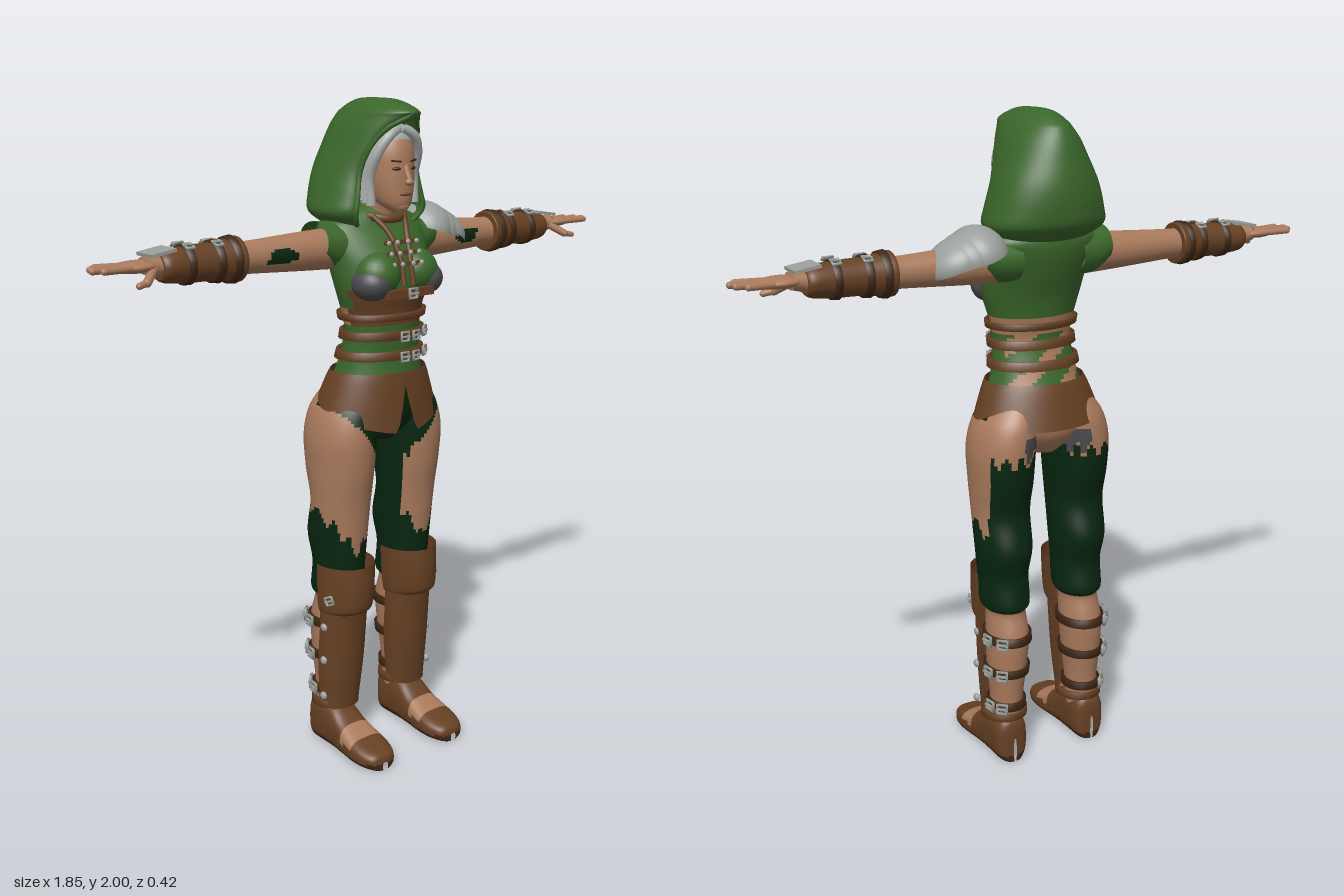
import * as THREE from 'three';
import { mergeVertices } from 'three/addons/utils/BufferGeometryUtils.js';

const PI = Math.PI, V = (x, y, z) => new THREE.Vector3(x, y, z);
const flat = (name, color, side = THREE.FrontSide) => {
  const m = new THREE.MeshStandardMaterial({ color, side });
  m.name = name;
  return m;
};
const M = {
  green: flat('hood green', 0x3a662a, THREE.DoubleSide),
  pine: flat('dark green cloth', 0x07260f),
  skin: flat('skin', 0xa97a5c),
  leather: flat('leather', 0x664023, THREE.DoubleSide),
  dark: flat('dark leather', 0x3f2715),
  steel: flat('steel', 0x9a9f9b, THREE.DoubleSide),
  iron: flat('dark iron', 0x4b4b50),
  hair: flat('silver hair', 0xa9aeac),
  lip: flat('lip', 0x85503f),
};

// Smooth interpolation through rows of numbers, t in 0..1
function sample(rows, t) {
  const f = t * (rows.length - 1), i = Math.min(Math.floor(f), rows.length - 2), u = f - i;
  const r = k => rows[Math.max(0, Math.min(rows.length - 1, i + k))];
  return rows[i].map((_, k) => {
    const [a, b, c, d] = [r(-1)[k], r(0)[k], r(1)[k], r(2)[k]];
    return b + 0.5 * u * (c - a + u * (2 * a - 5 * b + 4 * c - d + u * (3 * (b - c) + d - a)));
  });
}
// Row of a vertical loft at height y
function at(rows, y) {
  let i = 0;
  while (i < rows.length - 2 && rows[i + 1][1] < y) i++;
  const t = (y - rows[i][1]) / (rows[i + 1][1] - rows[i][1]);
  return rows[i].map((v, k) => v + (rows[i + 1][k] - v) * t);
}
// Grid surface whose faces take their material from a rule on the face centre
function surface(parent, name, nu, nv, point, rule) {
  const pos = [], sets = {};
  for (let i = 0; i <= nu; i++) for (let j = 0; j <= nv; j++) pos.push(...point(i, j));
  for (let i = 0; i < nu; i++) for (let j = 0; j < nv; j++) {
    const a = i * (nv + 1) + j, b = a + 1, d = a + nv + 1, c = d + 1;
    const mid = [0, 1, 2].map(k => (pos[a * 3 + k] + pos[b * 3 + k] + pos[c * 3 + k] + pos[d * 3 + k]) / 4);
    const key = typeof rule === 'string' ? rule : rule(...mid);
    (sets[key] ??= []).push(a, b, c, a, c, d);
  }
  let g = new THREE.BufferGeometry();
  g.setAttribute('position', new THREE.Float32BufferAttribute(pos, 3));
  g.setIndex(Object.values(sets).flat());
  let start = 0;
  Object.values(sets).forEach((s, k) => { g.addGroup(start, s.length, k); start += s.length; });
  g = mergeVertices(g, 1e-5);
  g.computeVertexNormals();
  return add(parent, name, g, Object.keys(sets).map(k => M[k]));
}
// Elliptical cross-sections [x, y, z, rx, rz] stacked along y
function loft(parent, name, rows, rule, { sub = 6, n = 36, arc = 2 * PI, cap = true } = {}) {
  const steps = sub * (rows.length - 1), e = cap ? 1 : 0;
  return surface(parent, name, steps + 2 * e, n, (i, j) => {
    const k = Math.max(0, Math.min(steps, i - e)), [x, y, z, rx, rz] = sample(rows, k / steps);
    const a = (j / n - 0.5) * arc, r = cap && (i === 0 || i === steps + 2) ? 0 : 1;
    return [x + r * rx * Math.sin(a), y, z + r * rz * Math.cos(a)];
  }, rule);
}
function add(parent, name, geo, mat, p = [0, 0, 0], s = [1, 1, 1], r = [0, 0, 0]) {
  const m = new THREE.Mesh(geo, mat);
  m.name = name;
  m.position.set(...p); m.scale.set(...s); m.rotation.set(...r);
  parent.add(m);
  return m;
}
const box = (g, name, mat, size, p, r) => add(g, name, new THREE.BoxGeometry(...size), mat, p, [1, 1, 1], r);
const ball = (g, name, mat, size, p, r) => add(g, name, new THREE.SphereGeometry(1, 24, 16), mat, p, size, r);
const tube = (g, name, mat, pts, r) =>
  add(g, name, new THREE.TubeGeometry(new THREE.CatmullRomCurve3(pts), 32, r, 8), mat);
function limb(g, name, mat, a, b, r) {
  const d = b.clone().sub(a), m = add(g, name, new THREE.CapsuleGeometry(r, d.length(), 4, 10), mat);
  m.position.copy(a).add(b).multiplyScalar(0.5);
  m.quaternion.setFromUnitVectors(V(0, 1, 0), d.normalize());
}
// Raised strap following a loft between two heights
function band(g, name, rows, y0, y1, off, mat) {
  const ring = (y, o) => at(rows, y).map((v, k) => (k > 2 ? v + o : v));
  loft(g, name, [ring(y0, off - 0.01), ring(y0, off), ring(y1, off), ring(y1, off - 0.01)], mat, { sub: 1, cap: false });
}
function buckle(g, p, r = [0, 0, 0], size = 1) {
  const b = new THREE.Group();
  b.name = 'buckle';
  b.position.set(...p); b.rotation.set(...r); b.scale.setScalar(size);
  add(b, 'buckleFrame', new THREE.TorusGeometry(0.019, 0.005, 6, 4).rotateZ(PI / 4), M.steel);
  box(b, 'bucklePin', M.steel, [0.034, 0.005, 0.008], [0, 0, 0.003]);
  g.add(b);
}

const TORSO = [[0, 1.0, -0.02, 0.05, 0.07], [0, 1.06, -0.02, 0.15, 0.115], [0, 1.12, -0.015, 0.185, 0.125],
  [0, 1.2, 0, 0.147, 0.112], [0, 1.27, 0.01, 0.13, 0.095], [0, 1.34, 0.022, 0.125, 0.088], [0, 1.4, 0.02, 0.135, 0.095],
  [0, 1.47, 0.02, 0.155, 0.11], [0, 1.54, 0.003, 0.165, 0.117], [0, 1.6, -0.02, 0.178, 0.11],
  [0, 1.645, -0.035, 0.178, 0.095], [0, 1.68, -0.03, 0.11, 0.075], [0, 1.7, -0.02, 0.055, 0.05]];
const torsoRule = (x, y, z) => {
  if (y < 1.2) return Math.abs(x) < 0.1 && z > 0 ? 'pine' : 'skin';
  if (y < 1.36) return z < -0.02 && Math.sin(x * 40 + y * 55) > 0.35 ? 'skin' : 'green';
  if (y < 1.415) return z > 0.03 ? 'leather' : 'skin';
  return y < 1.47 && z > 0.05 ? 'leather' : 'green';
};

function buildTorso(g) {
  loft(g, 'torsoAndVest', TORSO, torsoRule, { n: 56 });
  for (const [y, h] of [[1.385, 0.02], [1.33, 0.026], [1.27, 0.026]]) band(g, 'waistBelt', TORSO, y - h / 2, y + h / 2, 0.014, 'leather');
  for (const y of [1.33, 1.27]) for (const x of [-0.012, 0.03, 0.095])
    buckle(g, [x, y, x > 0.05 ? 0.105 : 0.142], [0, x * 6, 0], 0.95);
  // Bust, cups and laced front
  for (const s of [-1, 1]) {
    ball(g, 'bust', M.green, [0.07, 0.066, 0.068], [s * 0.072, 1.51, 0.085]);
    ball(g, 'bustCup', M.iron, [0.056, 0.05, 0.062], [s * 0.099, 1.487, 0.092]);
    tube(g, 'collarStrap', M.leather, [V(s * 0.06, 1.675, 0.05), V(s * 0.035, 1.63, 0.09), V(s * 0.018, 1.55, 0.128), V(s * 0.018, 1.48, 0.142)], 0.008);
  }
  for (const [y, z] of [[1.6, 0.108], [1.57, 0.12], [1.54, 0.132]]) {
    box(g, 'lace', M.leather, [0.12, 0.012, 0.012], [0, y, z]);
    for (const x of [-0.052, -0.02, 0.02, 0.052]) ball(g, 'laceStud', M.steel, [0.008, 0.008, 0.006], [x, y, z + 0.007]);
  }
  box(g, 'bustBelt', M.leather, [0.17, 0.024, 0.02], [0, 1.458, 0.146]);
  buckle(g, [0, 1.458, 0.162]);
  add(g, 'collar', new THREE.TorusGeometry(0.062, 0.013, 8, 28), M.leather, [0, 1.675, 0.01], [1, 1, 1], [PI / 2 + 0.2, 0, 0]);
  // Flared skirt with a notched front hem
  surface(g, 'skirt', 10, 96, (i, j) => {
    const a = (j / 96 - 0.5) * 2 * PI, d = Math.abs(a);
    const hem = d < 0.16 ? 1.18 - 0.14 * d / 0.16 : 1.04 + 0.05 * Math.min(1, (d - 0.16) / 1.1);
    const y = hem + (1.22 - hem) * i / 10, k = Math.pow((1.22 - y) / 0.16, 0.85);
    return [(0.155 + 0.062 * k) * Math.sin(a), y, 0.003 - 0.02 * k + (0.122 + 0.036 * k) * Math.cos(a)];
  }, 'leather');
}

function buildHead(g) {
  loft(g, 'neck', [[0, 1.62, -0.01, 0.055, 0.055], [0, 1.68, 0, 0.048, 0.05], [0, 1.75, 0.02, 0.05, 0.05]], 'skin');
  loft(g, 'head', [[0, 1.685, 0.098, 0.02, 0.018], [0, 1.71, 0.075, 0.048, 0.052], [0, 1.75, 0.052, 0.066, 0.078],
    [0, 1.8, 0.038, 0.075, 0.092], [0, 1.86, 0.03, 0.075, 0.095], [0, 1.905, 0.02, 0.058, 0.08], [0, 1.93, 0.02, 0.01, 0.015]], 'skin');
  limb(g, 'noseBridge', M.skin, V(0, 1.815, 0.124), V(0, 1.775, 0.143), 0.008);
  ball(g, 'noseTip', M.skin, [0.014, 0.01, 0.012], [0, 1.771, 0.142]);
  ball(g, 'mouth', M.lip, [0.022, 0.007, 0.008], [0, 1.738, 0.127]);
  ball(g, 'chin', M.skin, [0.024, 0.018, 0.018], [0, 1.703, 0.108]);
  ball(g, 'hairCap', M.hair, [0.08, 0.065, 0.1], [0, 1.878, 0.016]);
  for (const s of [-1, 1]) {
    ball(g, 'eye', M.dark, [0.013, 0.005, 0.005], [s * 0.031, 1.808, 0.122], [0, s * 0.4, 0]);
    box(g, 'eyebrow', M.dark, [0.03, 0.005, 0.006], [s * 0.031, 1.829, 0.122], [0, s * 0.4, s * 0.1]);
    for (let k = 0; k < 4; k++)
      tube(g, 'hairLock', M.hair, [V(s * 0.008, 1.918, 0.1 - k * 0.02), V(s * (0.045 + k * 0.004), 1.898, 0.106 - k * 0.012),
        V(s * 0.074, 1.85, 0.09 - k * 0.012), V(s * (0.082 + k * 0.004), 1.78, 0.064 - k * 0.01),
        V(s * (0.08 + k * 0.007), 1.705 + k * 0.008, 0.068 - k * 0.012)], 0.015);
  }
  // Hood levels: y, half width, back z, front z, half opening
  const H = [[1.64, 0.13, -0.13, 0.03, 0.1], [1.68, 0.178, -0.19, 0.055, 0.125], [1.73, 0.17, -0.205, 0.055, 0.118],
    [1.8, 0.148, -0.205, 0.05, 0.105], [1.87, 0.12, -0.19, 0.075, 0.085], [1.92, 0.1, -0.175, 0.11, 0.055],
    [1.95, 0.083, -0.16, 0.15, 0.015], [1.965, 0.073, -0.145, 0.163, 0], [1.985, 0.05, -0.11, 0.12, 0],
    [1.997, 0.025, -0.07, 0.07, 0], [2, 0, -0.01, -0.01, 0]];
  surface(g, 'hood', 50, 48, (i, j) => {
    const [y, rx, zb, zf, open] = sample(H, i / 50), zc = (zb + zf) / 2, ow = Math.max(0, open);
    const th = (j / 48 - 0.5) * 2 * PI, f = Math.abs(th) - PI / 2;
    if (f <= 0) return [-rx * Math.sin(th), y, zc - (zc - zb) * Math.cos(th)];
    return [-Math.sign(th) * (ow + (rx - ow) * Math.cos(f)), y, zc + (zf - zc) * Math.sin(f)];
  }, 'green');
  const rim = H.slice(0, 8), side = s => rim.map(r => V(s * r[4], r[0], r[3]));
  tube(g, 'hoodRim', M.green, [...side(1), ...side(-1).reverse().slice(1)], 0.008);
}

function buildArm(g, s) {
  const arm = new THREE.Group();
  arm.name = s > 0 ? 'leftArm' : 'rightArm';
  arm.position.set(0, 1.58, -0.035); arm.rotation.z = -s * PI / 2;
  g.add(arm);
  const up = -s;   // local x that points up
  const row = (l, r, q = r, o = 0) => [up * o, l, 0, r, q];
  loft(arm, 'arm', [row(0.1, 0.062), row(0.24, 0.056), row(0.35, 0.05), row(0.45, 0.045), row(0.55, 0.045), row(0.68, 0.034), row(0.76, 0.024, 0.034, 0.008)],
    (x, l, z) => (z > 0 && Math.abs(x) < 0.018 && Math.abs(l - 0.345) < 0.046 - x * 0.6 ? 'pine' : 'skin'), { n: 44, sub: 8 });
  loft(arm, 'armhole', [row(0.1, 0.07, 0.085, 0.01), row(0.16, 0.068, 0.078, 0.012), row(0.205, 0.056, 0.068, 0.025)], 'green', { cap: false });
  const B = [row(0.47, 0.056), row(0.475, 0.063), row(0.51, 0.058), row(0.56, 0.052), row(0.63, 0.05), row(0.7, 0.044, 0.05), row(0.72, 0.034, 0.04)];
  loft(arm, 'bracer', B, 'leather');
  for (const l of [0.5, 0.55, 0.64]) band(arm, 'bracerStrap', B, l - 0.01, l + 0.01, 0.006, 'dark');
  for (const l of [0.55, 0.64]) for (const z of [-0.03, 0.03]) buckle(arm, [up * 0.052, l, z], [0, up * PI / 2 - up * z * 14, PI / 2], 0.85);
  // Hand, with a plate over its back
  const h = new THREE.Group();
  h.name = 'hand';
  h.position.set(0, 1.588, -0.035);
  g.add(h);
  box(h, 'handPlate', M.steel, [0.075, 0.009, 0.08], [s * 0.72, 0.033, 0], [0, 0, -s * 0.15]);
  ball(h, 'palm', M.skin, [0.068, 0.017, 0.044], [s * 0.785, 0, 0]);
  [[0.034, 0.895], [0.012, 0.915], [-0.012, 0.907], [-0.035, 0.882]].forEach(([z, l]) =>
    limb(h, 'finger', M.skin, V(s * 0.8, 0, z * 0.85), V(s * l, 0.002, z * 1.15), 0.0095));
  limb(h, 'thumb', M.skin, V(s * 0.745, -0.008, 0.025), V(s * 0.785, -0.035, 0.058), 0.012);
  limb(h, 'thumbTip', M.skin, V(s * 0.785, -0.035, 0.058), V(s * 0.812, -0.04, 0.064), 0.009);
}

function buildLeg(g, s) {
  const leg = new THREE.Group();
  leg.name = s > 0 ? 'leftLeg' : 'rightLeg';
  g.add(leg);
  const side = rows => rows.map(([x, ...r]) => [x * s, ...r]);
  const L = side([[0.14, 0.08, -0.06, 0.05, 0.055], [0.137, 0.2, -0.06, 0.05, 0.057], [0.135, 0.32, -0.06, 0.06, 0.072],
    [0.132, 0.42, -0.06, 0.064, 0.078], [0.13, 0.5, -0.045, 0.06, 0.072], [0.13, 0.53, -0.04, 0.074, 0.09],
    [0.13, 0.62, -0.03, 0.076, 0.09], [0.13, 0.71, -0.035, 0.084, 0.104], [0.13, 0.82, -0.018, 0.088, 0.098],
    [0.13, 0.92, -0.02, 0.094, 0.118], [0.128, 1.02, -0.02, 0.098, 0.128], [0.112, 1.1, -0.02, 0.094, 0.122], [0.09, 1.16, -0.015, 0.075, 0.1]]);
  loft(leg, 'legAndLegging', L, (x, y, z) => {
    const dx = (x * s - 0.13) / 0.09, dz = (z + 0.02) / 0.11, rag = 0.02 * Math.sin(x * 130 + z * 60);
    if (y < 0.51) return 'skin';
    if (y < 0.66 + 0.13 * Math.min(1, Math.abs(dx)) + rag) return 'pine';
    if (dz < -0.25 && dx < -0.2 && y > 1.01 + rag && y < 1.07) return 'iron';
    if (dz < -0.35 && dx < 0.75 + rag * 4 && y < 1.0 + rag) return 'pine';
    if (dx < -0.72 + rag * 4 && y < 1.02) return 'pine';
    return dz > -0.3 && y > 0.94 + rag && x * s < 0.05 + (y - 0.94) * 0.8 ? 'pine' : 'skin';
  }, { n: 64, sub: 8 });
  // Boot shells cover the front; straps close them behind the calf
  loft(leg, 'shinGuard', side([[0.138, 0.14, -0.034, 0.07, 0.064], [0.137, 0.16, -0.03, 0.068, 0.062], [0.133, 0.3, -0.025, 0.077, 0.073],
    [0.131, 0.42, -0.015, 0.079, 0.072], [0.13, 0.53, -0.01, 0.08, 0.078]]), 'leather', { arc: 1.1 * PI, cap: false });
  loft(leg, 'kneeGuard', side([[0.13, 0.47, -0.01, 0.081, 0.086], [0.13, 0.49, -0.01, 0.085, 0.102], [0.128, 0.56, -0.01, 0.088, 0.108],
    [0.127, 0.625, -0.01, 0.09, 0.105]]), 'leather', { arc: 1.12 * PI, cap: false });
  band(leg, 'ankleCuff', side([[0.138, 0.14, -0.045, 0.068, 0.07], [0.138, 0.17, -0.045, 0.068, 0.07]]), 0.14, 0.165, 0.005, 'leather');
  for (const y of [0.19, 0.31, 0.42]) {
    const r = at(L, y);
    band(leg, 'calfStrap', L, y - 0.013, y + 0.013, 0.01, 'dark');
    for (const a of [1.75, 2.4]) buckle(leg, [r[0] + s * (r[3] + 0.015) * Math.sin(a), y, r[2] + (r[4] + 0.015) * Math.cos(a)], [0, s * a, 0], 1.1);
    ball(leg, 'bootStud', M.steel, [0.009, 0.013, 0.013], [r[0] + s * 0.077, y, -0.005]);
  }
  buckle(leg, [s * 0.215, 0.52, 0.03], [0, s * 1.2, 0.4], 0.9);
  // Shoe sections from toe to heel: z, half width, height
  const F = [[0.21, 0.01, 0.025], [0.2, 0.042, 0.048], [0.16, 0.062, 0.062], [0.11, 0.066, 0.078], [0.05, 0.06, 0.105], [0, 0.056, 0.14],
    [-0.05, 0.055, 0.155], [-0.1, 0.052, 0.15], [-0.122, 0.034, 0.13], [-0.127, 0.005, 0.08]];
  surface(leg, 'shoe', 54, 36, (i, j) => {
    const [z, w, h] = sample(F, i / 54), a = (j / 36 - 0.5) * 2 * PI, p = v => Math.sign(v) * Math.abs(v) ** 0.7;
    return [s * 0.142 + w * p(Math.sin(a)), Math.max(0, 0.48 * h + 0.52 * h * p(Math.cos(a))), z];
  }, (x, y, z) => (y < 0.022 ? 'dark' : y > 0.05 && z > 0.06 && z < 0.115 ? 'skin' : 'leather'));
}

export function createModel() {
  const g = new THREE.Group();
  g.name = 'hoodedRanger';
  buildTorso(g);
  buildHead(g);
  for (const s of [-1, 1]) { buildArm(g, s); buildLeg(g, s); }
  // Layered shoulder plate on the left shoulder
  for (let k = 0; k < 3; k++)
    add(g, 'shoulderPlate', new THREE.SphereGeometry(1, 32, 12, 0, 2 * PI, 0, PI * 0.5), M.steel,
      [0.215 + k * 0.03, 1.605 - k * 0.004, -0.05], [0.085 + k * 0.006, 0.088 - k * 0.011, 0.108 - k * 0.007], [0, 0, -0.3 - k * 0.08]);
  return g;
}
